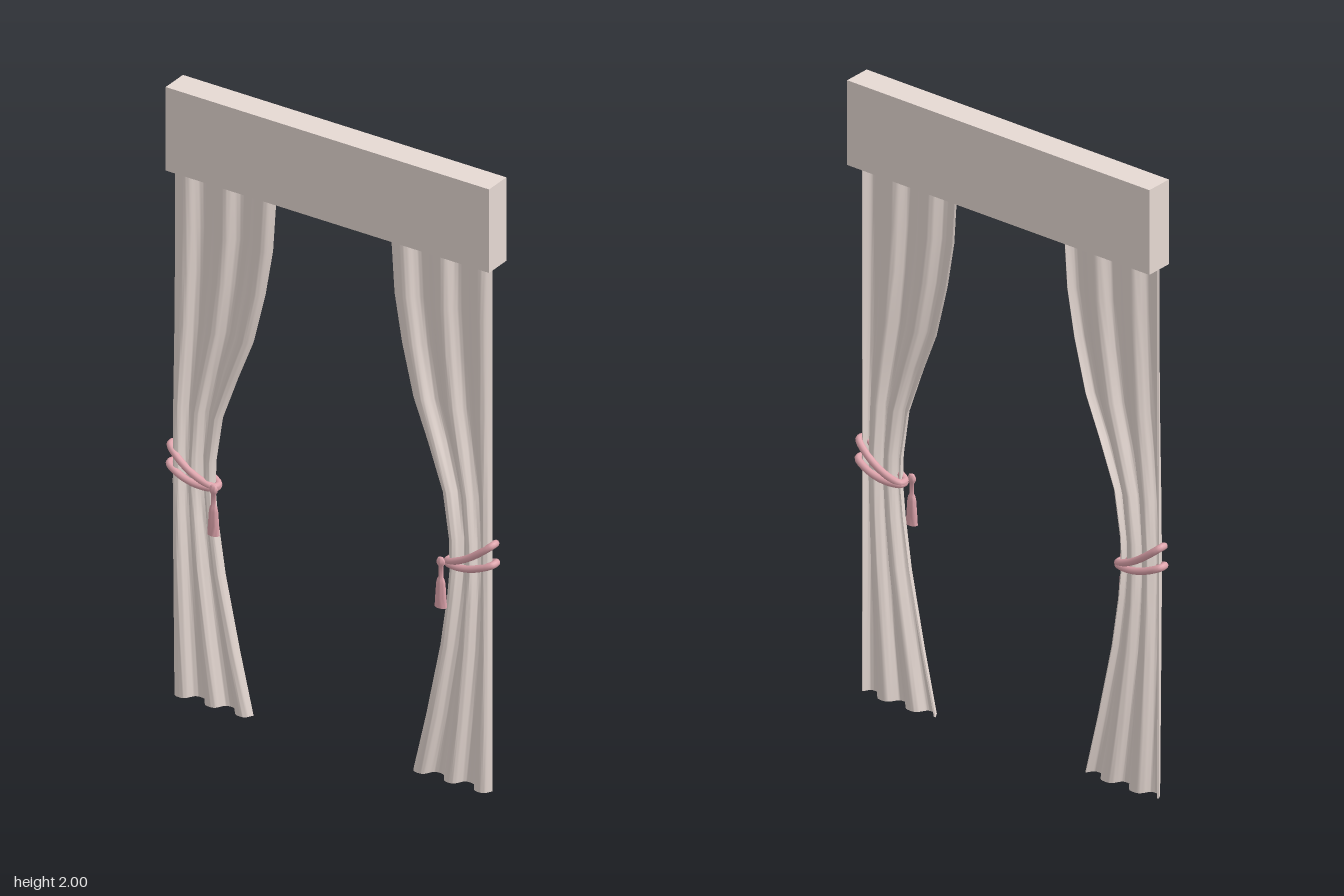
import * as THREE from 'three';
import { toCreasedNormals } from 'three/addons/utils/BufferGeometryUtils.js';

const OUTER = 0.555;
// [height, x of the inner edge]
const INNER_EDGE = [
  [0, 0.28], [0.2, 0.327], [0.44, 0.378], [0.6, 0.402], [0.7, 0.412], [0.8, 0.41],
  [0.95, 0.387], [1.1, 0.332], [1.23, 0.28], [1.4, 0.238], [1.55, 0.212], [1.73, 0.2],
];
const THICKNESS = 0.005;
const STEPS = 70;

// One point of the pleated cross-section; u runs from the outer to the inner edge
function pleat(u, inner) {
  const phase = -0.3 + u * (5 * Math.PI + 0.6);
  return new THREE.Vector2(
    OUTER + (inner - OUTER) * u,
    0.0115 + 0.018 * Math.tanh(1.7 * Math.sin(phase)) / Math.tanh(1.7),
  );
}

// Closed, thin section of cloth: front line, then the line offset to the back
function clothSection(inner) {
  const front = [], back = [];
  for (let i = 0; i <= STEPS; i++) {
    const u = i / STEPS;
    const p = pleat(u, inner);
    const t = pleat(u + 0.002, inner).sub(pleat(u - 0.002, inner)).normalize();
    front.push(p);
    back.unshift(new THREE.Vector2(p.x - t.y * THICKNESS, p.y + t.x * THICKNESS));
  }
  return [...front, ...back];
}

function curtainGeometry() {
  const positions = [], index = [];
  const ring = 2 * (STEPS + 1);
  for (const [y, inner] of INNER_EDGE) {
    for (const p of clothSection(inner)) positions.push(p.x, y, p.y);
  }
  for (let r = 0; r < INNER_EDGE.length - 1; r++) {
    for (let i = 0; i < ring; i++) {
      const a = r * ring + i, b = r * ring + (i + 1) % ring;
      index.push(a, a + ring, b, b, a + ring, b + ring);
    }
  }
  // Hem and top strips
  const last = (INNER_EDGE.length - 1) * ring;
  for (let i = 0; i < STEPS; i++) {
    const a = i, b = i + 1, c = ring - 2 - i, d = ring - 1 - i;
    index.push(a, b, c, a, c, d);
    index.push(last + a, last + c, last + b, last + a, last + d, last + c);
  }
  const geo = new THREE.BufferGeometry();
  geo.setAttribute('position', new THREE.Float32BufferAttribute(positions, 3));
  geo.setIndex(index);
  return toCreasedNormals(geo, 1.0);
}

// Cord loop round the cloth, sloping from the outer edge down to the inner edge
function cordGeometry(xOut, yOut, xIn, yIn) {
  const points = [];
  for (let i = 0; i < 24; i++) {
    const a = i / 24 * Math.PI * 2;
    const k = (1 - Math.cos(a)) / 2;
    const s = Math.sin(a);
    points.push(new THREE.Vector3(
      xOut + (xIn - xOut) * k,
      yOut + (yIn - yOut) * k - 0.012 * Math.sin(k * Math.PI),
      0.007 + 0.025 * Math.sign(s) * Math.pow(Math.abs(s), 0.6),
    ));
  }
  return new THREE.TubeGeometry(new THREE.CatmullRomCurve3(points, true), 72, 0.011, 10, true);
}

function tasselGeometry() {
  const profile = [
    [0, 0.577], [0.02, 0.577], [0.018, 0.61], [0.015, 0.655], [0.012, 0.668],
    [0.008, 0.675], [0.008, 0.71], [0.013, 0.718], [0.014, 0.728], [0.009, 0.738], [0, 0.741],
  ].map(([r, y]) => new THREE.Vector2(r, y));
  const geo = new THREE.LatheGeometry(profile, 16);
  geo.scale(1, 1, 0.65).translate(0.397, 0, 0.037);
  return toCreasedNormals(geo, 0.8);
}

// Mirrors a geometry across x = 0 and restores the winding
function mirrored(source) {
  const geo = source.index ? source.toNonIndexed() : source.clone();
  geo.scale(-1, 1, 1);
  for (const attr of Object.values(geo.attributes)) {
    const n = attr.itemSize;
    for (let v = 0; v < attr.count; v += 3) {
      for (let c = 0; c < n; c++) {
        const i = (v + 1) * n + c, j = (v + 2) * n + c;
        [attr.array[i], attr.array[j]] = [attr.array[j], attr.array[i]];
      }
    }
  }
  return geo;
}

export function createModel() {
  const model = new THREE.Group();
  model.name = 'curtains';
  const cloth = new THREE.MeshStandardMaterial({ color: 0xe6d9d3, side: THREE.DoubleSide });
  const cord = new THREE.MeshStandardMaterial({ color: 0xdda3ab });

  // Boxed pelmet
  const pelmet = new THREE.Mesh(new THREE.BoxGeometry(1.13, 0.275, 0.09), cloth);
  pelmet.name = 'pelmet';
  pelmet.position.set(0, 1.8625, -0.009);
  model.add(pelmet);

  // Drapes and their tiebacks, left then right
  const parts = [
    ['Drape', curtainGeometry(), cloth],
    ['UpperCord', cordGeometry(0.564, 0.818, 0.404, 0.722), cord],
    ['LowerCord', cordGeometry(0.567, 0.755, 0.404, 0.718), cord],
    ['Tassel', tasselGeometry(), cord],
  ];
  for (const side of ['left', 'right']) {
    const group = new THREE.Group();
    group.name = side + 'Curtain';
    for (const [name, geo, material] of parts) {
      const mesh = new THREE.Mesh(side === 'left' ? geo : mirrored(geo), material);
      mesh.name = side + name;
      group.add(mesh);
    }
    model.add(group);
  }
  return model;
}
